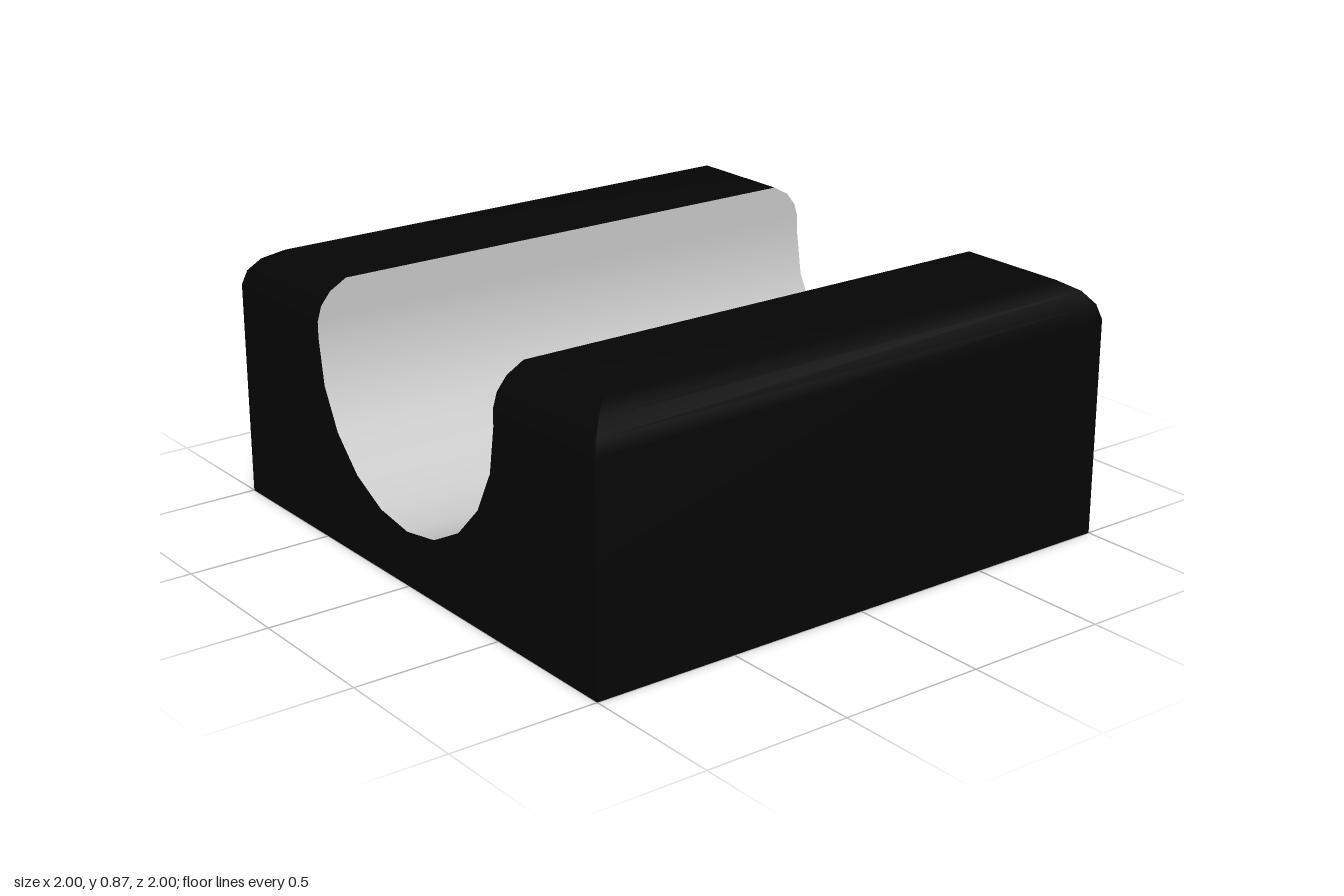
import * as THREE from 'three';
import { toCreasedNormals } from 'three/addons/utils/BufferGeometryUtils.js';

// Rounded shoulder: [half-size of the block, height], from wall to top
const shoulder = [[1, 0.74], [0.985, 0.79], [0.95, 0.833], [0.89, 0.867]];
const bottomToTop = [[1, 0], ...shoulder];
const R = 0.5, axisY = 0.685;

// Geometry from four-cornered faces, corners counter-clockwise from outside
function quads(list) {
  const pos = [];
  for (const [a, b, c, d] of list) pos.push(...a, ...b, ...c, ...a, ...c, ...d);
  const g = new THREE.BufferGeometry();
  g.setAttribute('position', new THREE.Float32BufferAttribute(pos, 3));
  return toCreasedNormals(g, 0.6);
}

// Lower half of a 20-sided circle, from -x to +x
function troughArc() {
  return Array.from({ length: 11 }, (_, i) => {
    const a = Math.PI * (1 + i / 10);
    return [R * Math.cos(a), axisY + R * Math.sin(a)];
  });
}

// Outer wall with its rounded edge, end shoulders and flat top of one side (+x)
function sideGeometry() {
  const faces = [];
  for (let i = 0; i < bottomToTop.length - 1; i++) {
    const [r0, y0] = bottomToTop[i], [r1, y1] = bottomToTop[i + 1];
    faces.push([[r0, y0, r0], [r0, y0, -r0], [r1, y1, -r1], [r1, y1, r1]]);
    if (i === 0) continue;
    faces.push([[R, y0, r0], [r0, y0, r0], [r1, y1, r1], [R, y1, r1]]);
    faces.push([[r0, y0, -r0], [R, y0, -r0], [R, y1, -r1], [r1, y1, -r1]]);
  }
  const [t, y] = shoulder[3];
  faces.push([[R, y, t], [t, y, t], [t, y, -t], [R, y, -t]]);
  return quads(faces);
}

// Flat end below the shoulder, with the channel cut out
function endGeometry() {
  const y = shoulder[0][1];
  const outline = [[-1, 0], [1, 0], [1, y], [R, y], ...troughArc().reverse(), [-R, y], [-1, y]];
  const g = new THREE.ShapeGeometry(new THREE.Shape(outline.map(p => new THREE.Vector2(...p))));
  return g.translate(0, 0, 1);
}

// Channel lining, its ends following the rounded shoulders
function troughGeometry() {
  const wall = shoulder.map(([r, y]) => [R, y, r]);
  const path = [
    ...wall.map(([x, y, r]) => [-x, y, r]).reverse(),
    ...troughArc().map(([x, y]) => [x, y, 1]),
    ...wall,
  ];
  const faces = [];
  for (let i = 0; i < path.length - 1; i++) {
    const [x0, y0, r0] = path[i], [x1, y1, r1] = path[i + 1];
    faces.push([[x0, y0, r0], [x1, y1, r1], [x1, y1, -r1], [x0, y0, -r0]]);
  }
  return quads(faces);
}

export function createModel() {
  const model = new THREE.Group();
  model.name = 'channelBlock';
  const black = new THREE.MeshStandardMaterial({ color: 0x050505 });
  const grey = new THREE.MeshStandardMaterial({ color: 0xcccccc, side: THREE.DoubleSide });

  const add = (name, geometry, material, turn = 0) => {
    const mesh = new THREE.Mesh(geometry, material);
    mesh.name = name;
    mesh.rotation.y = turn;
    model.add(mesh);
  };

  const side = sideGeometry(), end = endGeometry();
  add('leftSide', side, black);
  add('rightSide', side, black, Math.PI);
  add('frontEnd', end, black);
  add('backEnd', end, black, Math.PI);
  add('base', new THREE.PlaneGeometry(2, 2).rotateX(Math.PI / 2), black);
  add('troughLining', troughGeometry(), grey);
  return model;
}
